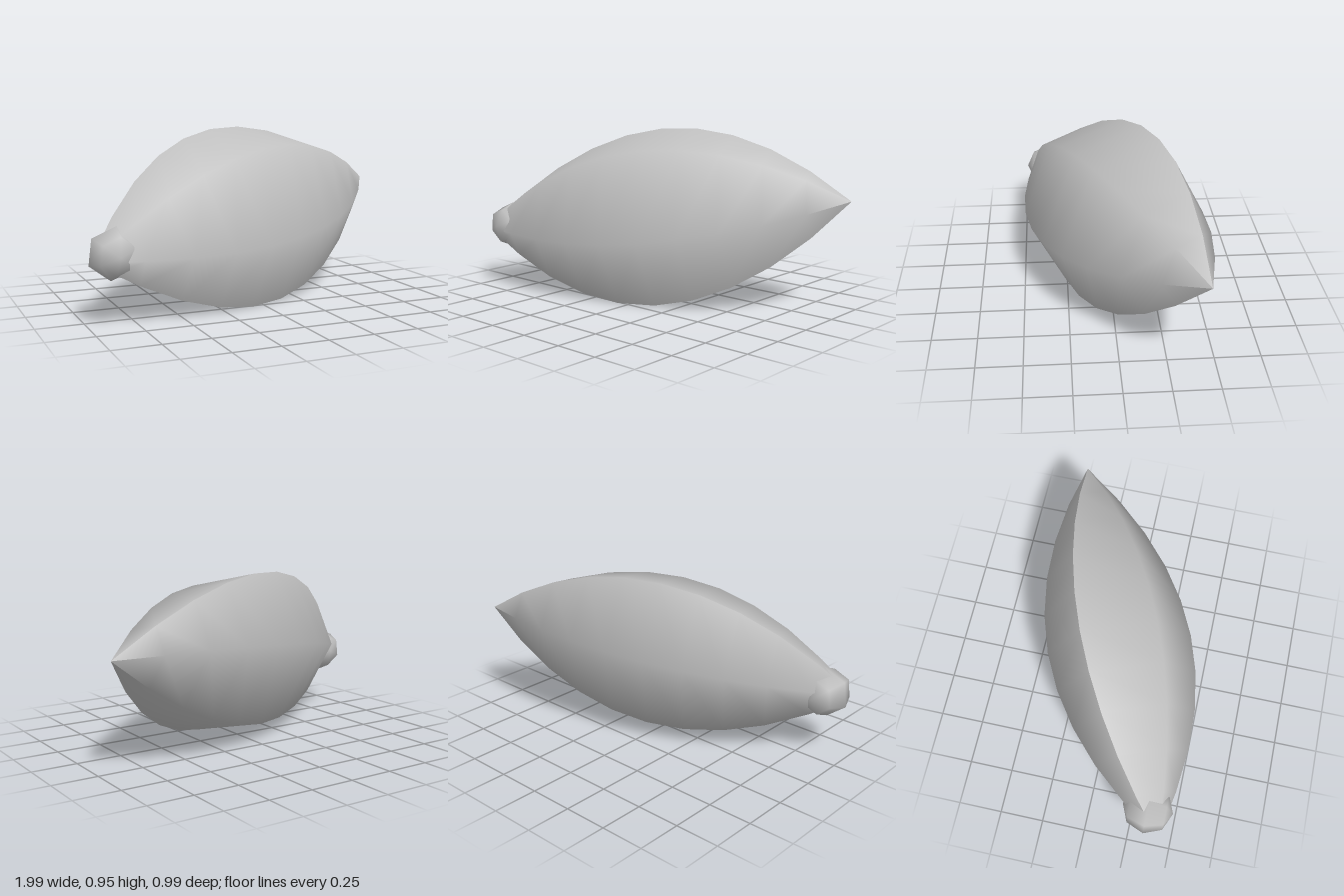
import * as THREE from 'three';

const HALF_LENGTH = 1.09, HALF_WIDTH = 0.525, HALF_DEPTH = 0.387;
// Ring positions along the seed, from the blunt end to the pointed tip
const RINGS = [-0.92, -0.8, -0.6, -0.4, -0.2, 0, 0.2, 0.4, 0.6, 0.8, 1];
const FACETS = 3; // facets on each half of the six-sided section

// One half of the seed, from rim to rim; side is +1 (front) or -1 (back)
function seedHalf(side) {
  const pos = [], index = [];
  for (const t of RINGS) {
    const f = 1 - t * t; // pointed lens outline
    for (let j = 0; j <= FACETS; j++) {
      const a = Math.PI * j / FACETS;
      pos.push(t * HALF_LENGTH, -Math.cos(a) * f * HALF_WIDTH, side * Math.sin(a) * f * HALF_DEPTH);
    }
  }
  const row = FACETS + 1;
  for (let i = 0; i < RINGS.length - 1; i++) {
    for (let j = 0; j < FACETS; j++) {
      const a = i * row + j, b = a + row, c = b + 1, d = a + 1;
      if (side > 0) index.push(a, b, c, a, c, d);
      else index.push(a, c, b, a, d, c);
    }
  }
  const geo = new THREE.BufferGeometry();
  geo.setAttribute('position', new THREE.Float32BufferAttribute(pos, 3));
  geo.setIndex(index);
  geo.computeVertexNormals();
  return geo;
}

export function createModel() {
  const model = new THREE.Group();
  model.name = 'seed';
  const grey = new THREE.MeshStandardMaterial({ color: 0xc0c0c0 });
  grey.name = 'grey';

  // Tilted frame of the seed: long axis, width and thickness directions
  const long = new THREE.Vector3(1, 0.13, -0.42).normalize();
  const wide = new THREE.Vector3(0, 0.487, -0.245);
  wide.addScaledVector(long, -wide.dot(long)).normalize();
  const thick = new THREE.Vector3().crossVectors(long, wide);
  const frame = new THREE.Matrix4().makeBasis(long, wide, thick).setPosition(0, 0.488, 0);

  // Two shells meeting at a sharp rim
  for (const [side, name] of [[1, 'frontShell'], [-1, 'backShell']]) {
    const shell = new THREE.Mesh(seedHalf(side).applyMatrix4(frame), grey);
    shell.name = name;
    model.add(shell);
  }

  // Small six-sided stem nub over the blunt end
  const nubGeo = new THREE.SphereGeometry(0.14, 6, 4);
  nubGeo.rotateX(Math.PI / 2).rotateZ(0.4);
  const nub = new THREE.Mesh(nubGeo, grey);
  nub.name = 'stemNub';
  nub.position.set(-0.862, 0.378, 0.338);
  model.add(nub);

  // Rest on the ground
  const box = new THREE.Box3().setFromObject(model, true);
  for (const part of model.children) part.position.y -= box.min.y;
  return model;
}
